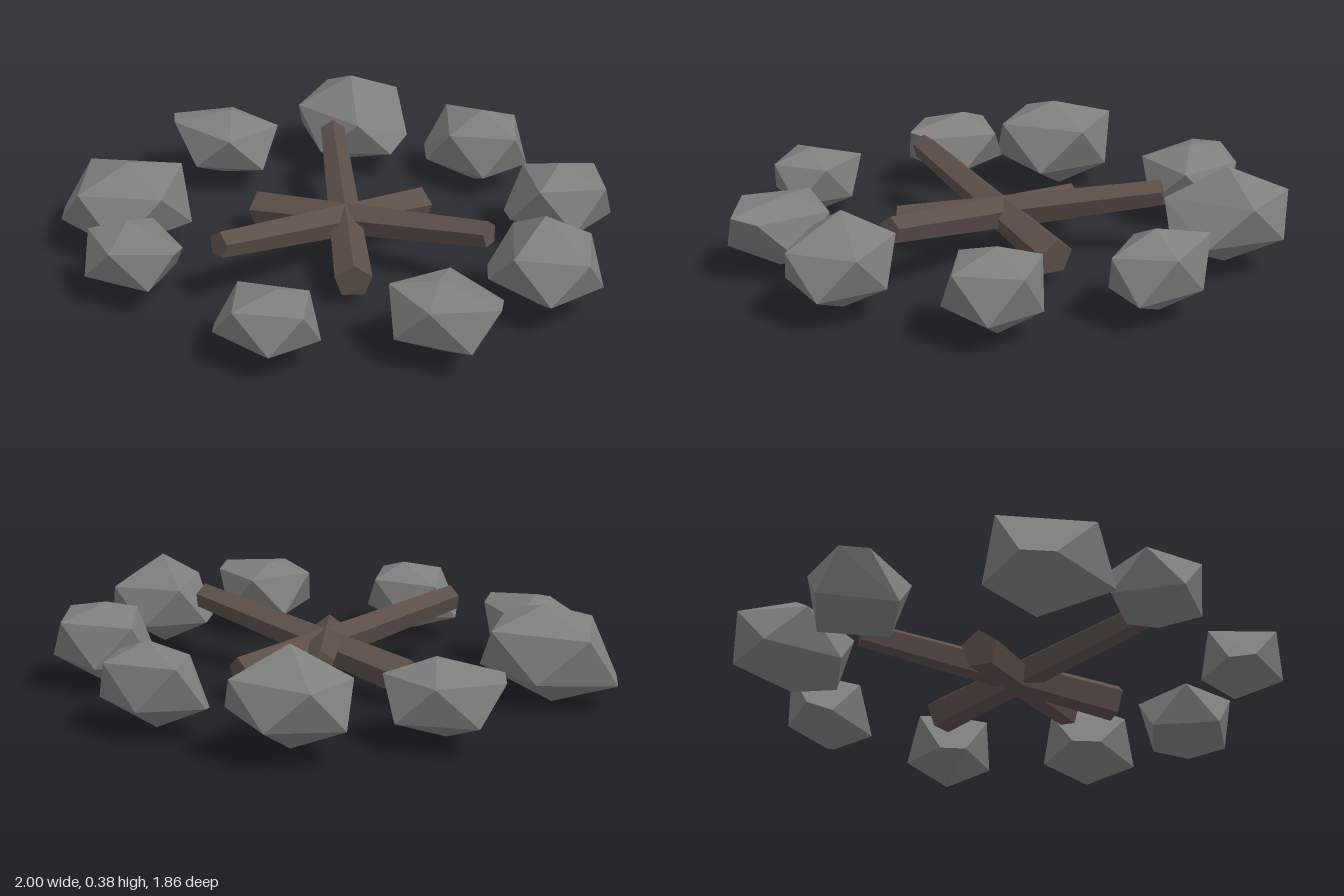
import * as THREE from 'three';
import { ConvexGeometry } from 'three/addons/geometries/ConvexGeometry.js';

// Stones in plan: centre, half length and width, direction of the narrow end and
// how much it narrows; then bottom and top heights, peak shift along the stone,
// relative height of the shoulders, and whether the narrow end is a shoulder
const STONES = [
  { x: -0.395, z: -0.695, length: 0.235, width: 0.205, yaw: 0.3, taper: 0, base: 0.03, top: 0.385, lean: 0, shoulder: 0.4, tipUp: false },
  { x: 0.11, z: -0.785, length: 0.215, width: 0.15, yaw: 3.1, taper: 0.15, base: 0.025, top: 0.325, lean: -0.15, shoulder: 0.6, tipUp: false },
  { x: 0.61, z: -0.50, length: 0.2, width: 0.16, yaw: 2.9, taper: 0.15, base: 0.02, top: 0.325, lean: 0, shoulder: 0.6, tipUp: false },
  { x: 0.805, z: 0.015, length: 0.21, width: 0.18, yaw: 3.1, taper: 0.2, base: 0.035, top: 0.38, lean: 0, shoulder: 0.42, tipUp: false },
  { x: 0.68, z: 0.46, length: 0.205, width: 0.165, yaw: 0.1, taper: 0.2, base: 0.035, top: 0.29, lean: -0.2, shoulder: 0.7, tipUp: true },
  { x: 0.17, z: 0.785, length: 0.195, width: 0.145, yaw: 3.1, taper: 0.15, base: 0.03, top: 0.29, lean: -0.25, shoulder: 0.62, tipUp: false },
  { x: -0.44, z: 0.655, length: 0.2, width: 0.16, yaw: 0.25, taper: 0.3, base: 0.04, top: 0.295, lean: -0.25, shoulder: 0.6, tipUp: true },
  { x: -0.74, z: 0.355, length: 0.26, width: 0.205, yaw: 3.1, taper: 0.3, base: 0, top: 0.35, lean: -0.15, shoulder: 0.55, tipUp: false },
  { x: -0.74, z: -0.305, length: 0.215, width: 0.175, yaw: 3.0, taper: 0.25, base: 0.04, top: 0.31, lean: -0.18, shoulder: 0.6, tipUp: true },
];

// Logs: thick end on the ground, thin end raised
const LOGS = [
  { low: [0.225, 0.10, 0.31], high: [-0.335, 0.25, -0.46] },
  { low: [0.12, 0.10, -0.34], high: [-0.165, 0.25, 0.56] },
  { low: [-0.37, 0.10, 0.0], high: [0.59, 0.25, 0.005] },
];

// Repeatable unevenness between -1 and 1
const uneven = (seed) => Math.sin(seed * 12.9898 + 4.1);

// Faceted stone: peak, bottom point and an egg-shaped girdle that zigzags up and down
function makeStone(stone, index, material) {
  const { length, width, base, top } = stone;
  const sides = 9;
  const mid = (top + base) / 2;
  const half = (top - base) / 2;
  const points = [new THREE.Vector3(length * stone.lean, top, 0), new THREE.Vector3(0, base, 0)];
  for (let i = 0; i < sides; i++) {
    const angle = (i / sides) * Math.PI * 2;
    const seed = index * sides + i;
    const isShoulder = (i % 2 === 0) === stone.tipUp;
    const lift = (isShoulder ? stone.shoulder : -0.4) + 0.08 * uneven(seed + 0.5);
    const narrowing = 1 - stone.taper * Math.cos(angle);
    points.push(new THREE.Vector3(
      length * Math.cos(angle),
      mid + half * lift,
      width * Math.sin(angle) * narrowing * (1 + 0.05 * uneven(seed)),
    ));
  }
  const mesh = new THREE.Mesh(new ConvexGeometry(points), material);
  mesh.position.set(stone.x, 0, stone.z);
  mesh.rotation.y = -stone.yaw;
  mesh.name = 'stone';
  return mesh;
}

// Five-sided tapered log with one edge upwards
function makeLog({ low, high }, material) {
  const a = new THREE.Vector3(...low);
  const b = new THREE.Vector3(...high);
  const geometry = new THREE.CylinderGeometry(0.069, 0.048, a.distanceTo(b), 5).toNonIndexed();
  geometry.rotateX(-Math.PI / 2);
  geometry.computeVertexNormals();
  const mesh = new THREE.Mesh(geometry, material);
  mesh.position.copy(a).lerp(b, 0.5);
  mesh.lookAt(b);
  mesh.name = 'log';
  return mesh;
}

export function createModel() {
  const stoneGrey = new THREE.MeshStandardMaterial({ color: 0x7e807e });
  stoneGrey.name = 'stone grey';
  const darkWood = new THREE.MeshStandardMaterial({ color: 0x5c4f4a });
  darkWood.name = 'dark wood';

  const model = new THREE.Group();
  model.name = 'campfire';

  const ring = new THREE.Group();
  ring.name = 'stoneRing';
  STONES.forEach((stone, index) => ring.add(makeStone(stone, index, stoneGrey)));

  const logs = new THREE.Group();
  logs.name = 'crossedLogs';
  LOGS.forEach((log) => logs.add(makeLog(log, darkWood)));

  model.add(ring, logs);
  return model;
}
